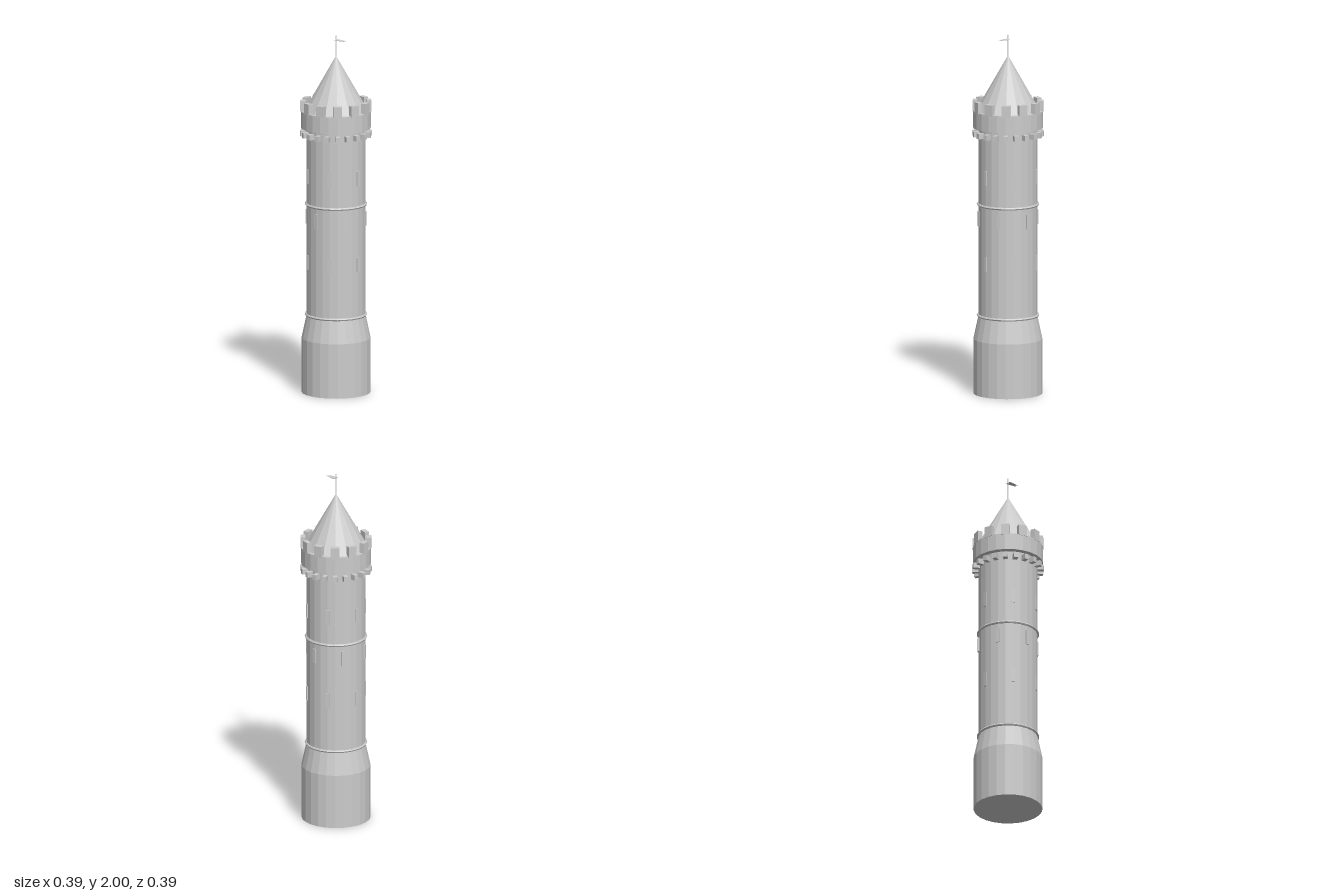
import * as THREE from 'three';

const SIDES = 24;

export function createModel() {
  const tower = new THREE.Group();
  tower.name = 'tower';
  const stone = new THREE.MeshStandardMaterial({ color: 0xcccccc, flatShading: true });

  const add = (name, geometry, y = 0, parent = tower) => {
    const mesh = new THREE.Mesh(geometry, stone);
    mesh.name = name;
    mesh.position.y = y;
    parent.add(mesh);
    return mesh;
  };

  // Upright cylinder or cone between two heights
  const drum = (name, rTop, rBottom, y0, y1, sides = SIDES) =>
    add(name, new THREE.CylinderGeometry(rTop, rBottom, y1 - y0, sides), (y0 + y1) / 2);

  // Ring of equal blocks facing outwards; angles are measured from +x
  const blockRing = (name, count, startDeg, outer, width, depth, y0, y1) => {
    const ring = new THREE.Group();
    ring.name = name + 's';
    const geometry = new THREE.BoxGeometry(depth, y1 - y0, width);
    for (let i = 0; i < count; i++) {
      const a = THREE.MathUtils.degToRad(startDeg + (i * 360) / count);
      const block = add(name, geometry, (y0 + y1) / 2, ring);
      const r = outer - depth / 2;
      block.position.x = r * Math.cos(a);
      block.position.z = r * Math.sin(a);
      block.rotation.y = -a;
    }
    tower.add(ring);
  };

  // Foot, sloping collar and shaft
  drum('base', 0.19, 0.19, 0, 0.305);
  drum('collar', 0.163, 0.19, 0.305, 0.43);
  drum('shaft', 0.163, 0.163, 0.43, 1.49);

  // Round string courses
  for (const y of [0.437, 1.057]) {
    const band = new THREE.TorusGeometry(0.164, 0.008, 6, SIDES);
    band.rotateX(Math.PI / 2);
    add('band', band, y);
  }

  // Slit windows, with the middle row staggered
  [[0.735, 0], [0.979, 30], [1.218, 0]].forEach(([y, start]) =>
    blockRing('slitWindow', 6, start, 0.168, 0.02, 0.02, y - 0.041, y + 0.041));

  // Corbels, parapet and battlements
  blockRing('corbel', 20, 9, 0.1965, 0.024, 0.036, 1.437, 1.467);
  drum('parapet', 0.193, 0.193, 1.485, 1.58);
  blockRing('merlon', 12, 15, 0.194, 0.048, 0.027, 1.575, 1.637);

  // Spire
  drum('roof', 0, 0.178, 1.575, 1.886, 16);
  drum('flagpole', 0.003, 0.003, 1.87, 2, 6);

  // Swallow-tailed pennant lying flat
  const outline = new THREE.Shape([
    [0, -0.017], [0.066, -0.009], [0.052, 0], [0.066, 0.009], [0, 0.017],
  ].map(([x, y]) => new THREE.Vector2(x, y)));
  const pennant = new THREE.ExtrudeGeometry(outline, { depth: 0.002, bevelEnabled: false });
  pennant.rotateX(-Math.PI / 2);
  add('pennant', pennant, 1.974);

  return tower;
}
